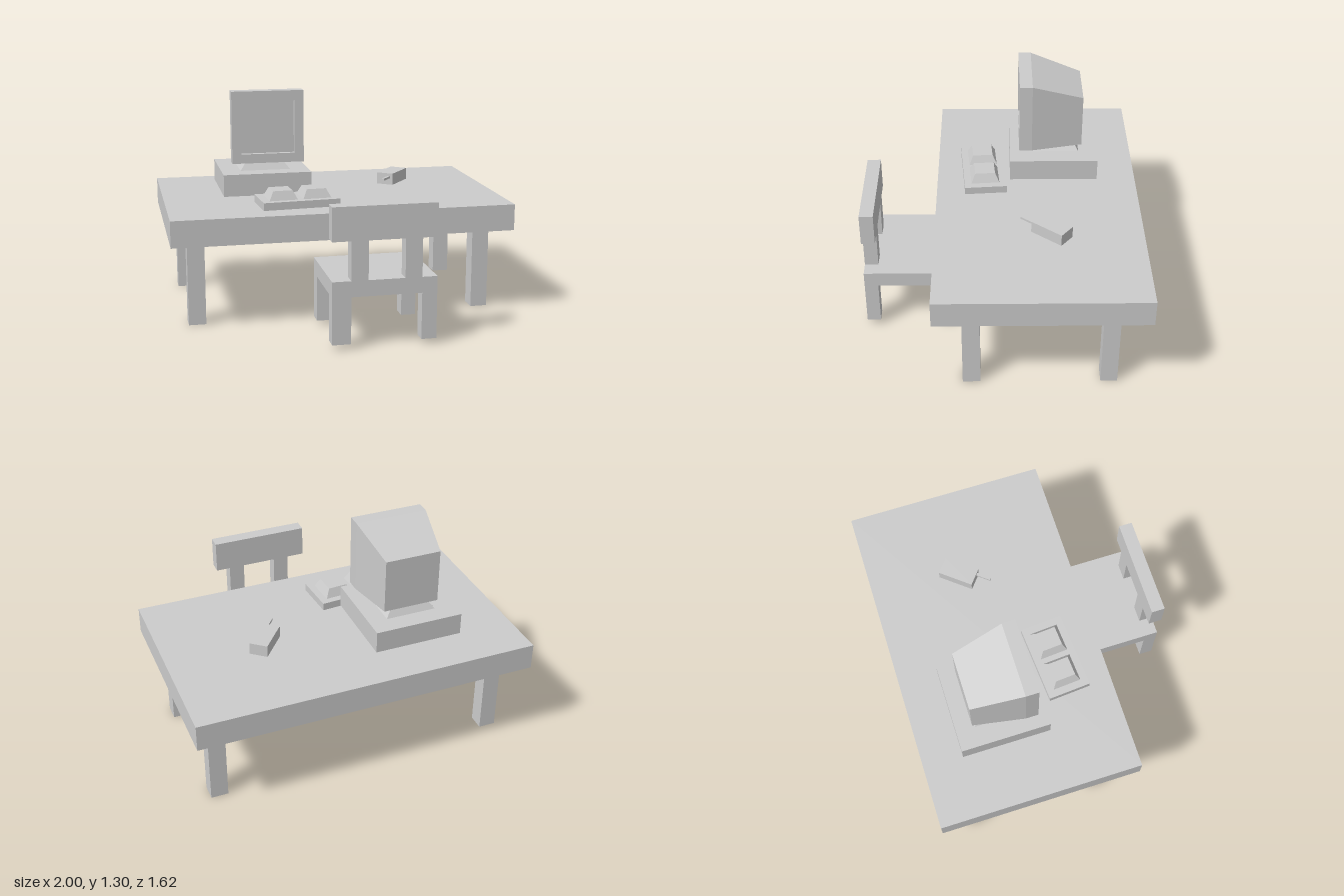
import * as THREE from 'three';

const material = new THREE.MeshStandardMaterial({ color: 0xcccccc, flatShading: true });

function add(parent, name, geometry) {
  const mesh = new THREE.Mesh(geometry, material);
  mesh.name = name;
  parent.add(mesh);
  return mesh;
}

// Box given by its extents on each axis
function box(parent, name, [x0, x1], [y0, y1], [z0, z1]) {
  const g = new THREE.BoxGeometry(x1 - x0, y1 - y0, z1 - z0);
  g.translate((x0 + x1) / 2, (y0 + y1) / 2, (z0 + z1) / 2);
  return add(parent, name, g);
}

// Box standing on y = 0 whose top is narrowed to a smaller rectangle
function frustum(w, d, topW, topD, h) {
  const g = new THREE.BoxGeometry(w, h, d).translate(0, h / 2, 0);
  const p = g.attributes.position;
  for (let i = 0; i < p.count; i++) {
    if (p.getY(i) > h / 2) {
      p.setX(i, p.getX(i) * topW / w);
      p.setZ(i, p.getZ(i) * topD / d);
    }
  }
  g.computeVertexNormals();
  return g;
}

function group(parent, name) {
  const g = new THREE.Group();
  g.name = name;
  parent.add(g);
  return g;
}

function buildTable(root) {
  const table = group(root, 'table');
  box(table, 'tableTop', [-1, 1], [0.505, 0.66], [-0.81, 0.39]);
  for (const x of [[-0.9, -0.8], [0.8, 0.9]]) {
    for (const z of [[0.13, 0.23], [-0.645, -0.55]]) box(table, 'tableLeg', x, [0, 0.505], z);
  }
}

function buildChair(root) {
  const chair = group(root, 'chair');
  const width = [-0.18, 0.405];
  const back = [0.73, 0.81];
  box(chair, 'seat', width, [0.295, 0.385], [0.3, 0.81]);
  for (const x of [[-0.18, -0.075], [0.32, 0.405]]) {
    for (const z of [[0.3, 0.39], back]) box(chair, 'chairLeg', x, [0.03, 0.295], z);
  }
  for (const x of [[-0.075, 0.02], [0.225, 0.32]]) box(chair, 'backPost', x, [0.385, 0.605], back);
  box(chair, 'backRest', width, [0.605, 0.795], back);
}

function buildComputer(root) {
  const computer = group(root, 'computer');
  box(computer, 'computerCase', [-0.65, -0.125], [0.685, 0.815], [-0.575, -0.05]);
  add(computer, 'monitorStand', frustum(0.3, 0.3, 0.2, 0.22, 0.065)).position.set(-0.385, 0.815, -0.315);

  // Front frame around the recessed screen
  const frame = new THREE.Shape();
  frame.moveTo(-0.59, 0.87).lineTo(-0.16, 0.87).lineTo(-0.16, 1.3).lineTo(-0.59, 1.3).closePath();
  const hole = new THREE.Path();
  hole.moveTo(-0.535, 0.925).lineTo(-0.535, 1.24).lineTo(-0.215, 1.24).lineTo(-0.215, 0.925).closePath();
  frame.holes.push(hole);
  const g = new THREE.ExtrudeGeometry(frame, { depth: 0.03, bevelEnabled: false });
  add(computer, 'screenFrame', g.translate(0, 0, -0.135));
  box(computer, 'screen', [-0.59, -0.16], [0.87, 1.3], [-0.18, -0.135]);

  // Housing narrows and slopes down to the rear
  const housing = box(computer, 'monitorHousing', [-0.59, -0.16], [0.87, 1.3], [-0.48, -0.18]);
  const p = housing.geometry.attributes.position;
  for (let i = 0; i < p.count; i++) {
    if (p.getZ(i) < -0.3) {
      p.setX(i, p.getX(i) < -0.375 ? -0.54 : -0.21);
      p.setY(i, p.getY(i) > 1 ? 1.2 : 0.88);
    }
  }
  housing.geometry.computeVertexNormals();
}

function buildKeyboard(root) {
  const keyboard = group(root, 'keyboard');
  keyboard.position.set(-0.241, 0.66, 0.112);
  keyboard.rotation.y = 0.073;
  box(keyboard, 'keyboardBase', [-0.227, 0.227], [0, 0.045], [-0.125, 0.125]);
  for (const x of [-0.1, 0.1]) {
    add(keyboard, 'keyBlock', frustum(0.168, 0.168, 0.115, 0.12, 0.052)).position.set(x, 0.045, 0);
  }
}

function buildMouse(root) {
  const mouse = group(root, 'mouse');
  mouse.position.set(0.433, 0.688, -0.278);
  mouse.rotation.y = -0.68;
  box(mouse, 'mouseBody', [-0.053, 0.053], [0, 0.07], [-0.106, 0.106]);
  box(mouse, 'mouseCable', [0.021, 0.037], [0.041, 0.054], [0.1, 0.195]);
}

export function createModel() {
  const root = new THREE.Group();
  root.name = 'computerDesk';
  buildTable(root);
  buildChair(root);
  buildComputer(root);
  buildKeyboard(root);
  buildMouse(root);
  return root;
}
